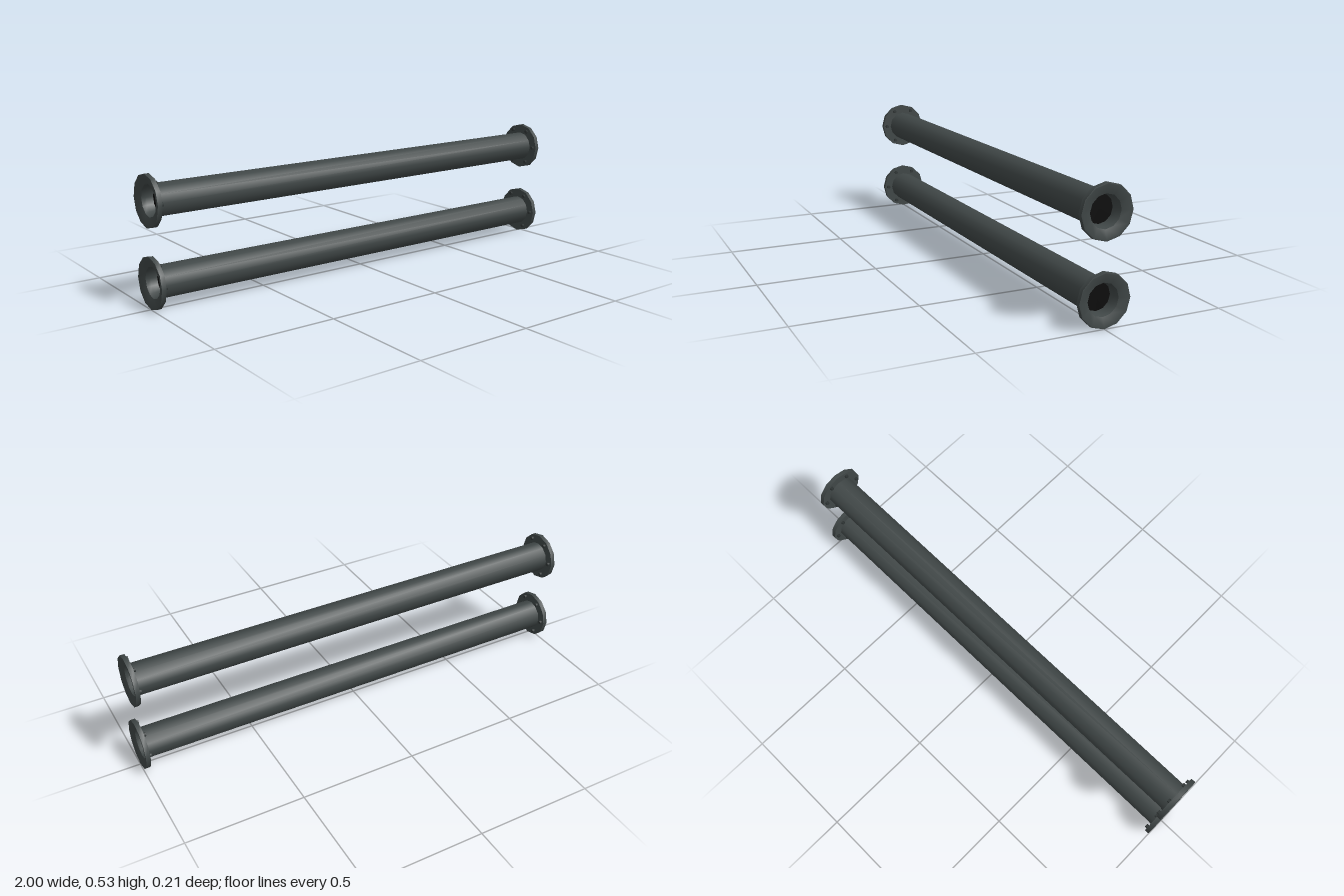
import * as THREE from 'three';
import { toCreasedNormals } from 'three/addons/utils/BufferGeometryUtils.js';

const SIDES = 12;

export function createModel() {
  const steel = new THREE.MeshStandardMaterial({ color: 0x3f4646 });
  steel.name = 'dark steel';
  const boreBlack = new THREE.MeshStandardMaterial({ color: 0x0b0b0b });
  boreBlack.name = 'bore black';
  const boltSteel = new THREE.MeshStandardMaterial({ color: 0x2f3535 });
  boltSteel.name = 'bolt steel';

  // Half profile (radius, distance along the axis): bore, dished mouth, flange, pipe wall
  const half = [
    [0.056, 0.94], [0.058, 0.97], [0.064, 0.987], [0.1, 1],
    [0.105, 0.999], [0.105, 0.98], [0.066, 0.98],
  ];
  const profile = [
    ...half.map(([r, y]) => new THREE.Vector2(r, -y)),
    ...half.slice().reverse().map(([r, y]) => new THREE.Vector2(r, y)),
  ];
  const pipeGeo = toCreasedNormals(new THREE.LatheGeometry(profile, SIDES), 0.7);
  const capGeo = new THREE.CircleGeometry(0.057, SIDES);
  const boltGeo = new THREE.CylinderGeometry(0.008, 0.008, 0.012, 6);

  function makePipe(name, y) {
    const pipe = new THREE.Group();
    pipe.name = name;
    const body = new THREE.Mesh(pipeGeo, steel);
    body.name = 'flangedPipe';
    pipe.add(body);

    for (const end of [-1, 1]) {
      // Dark plug inside the mouth
      const cap = new THREE.Mesh(capGeo, boreBlack);
      cap.name = 'bore';
      cap.rotation.x = -end * Math.PI / 2;
      cap.position.y = end * 0.942;
      pipe.add(cap);

      // Ring of bolts behind the flange
      for (let i = 0; i < 6; i++) {
        const a = (i * Math.PI) / 3;
        const bolt = new THREE.Mesh(boltGeo, boltSteel);
        bolt.name = 'flangeBolt';
        bolt.position.set(0.086 * Math.sin(a), end * 0.976, 0.086 * Math.cos(a));
        pipe.add(bolt);
      }
    }
    // Lay the pipe along x
    pipe.rotation.z = -Math.PI / 2;
    pipe.position.y = y;
    return pipe;
  }

  const model = new THREE.Group();
  model.name = 'pipePair';
  model.add(makePipe('lowerPipe', 0.106), makePipe('upperPipe', 0.427));
  return model;
}
